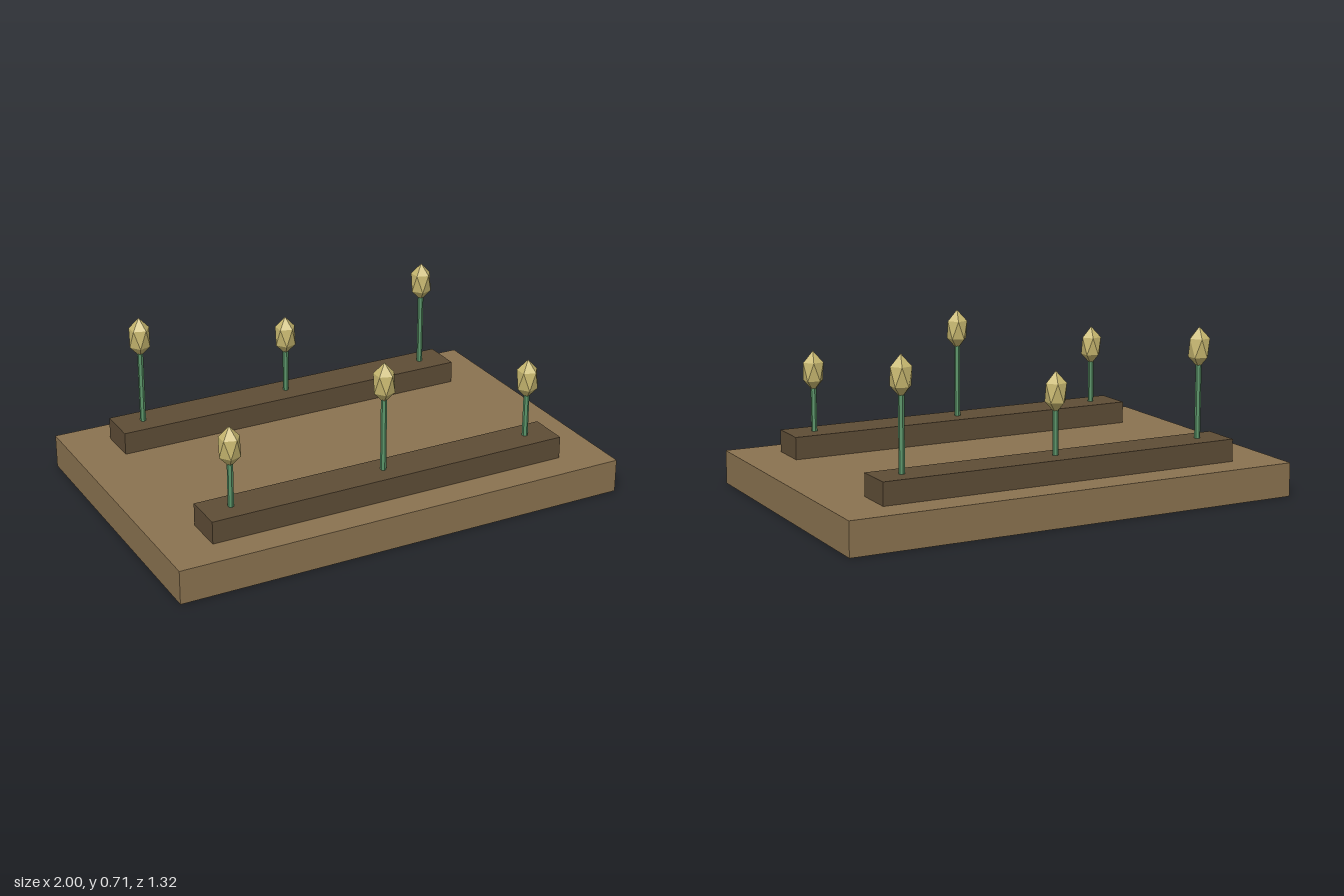
import * as THREE from 'three';

const BASE_TOP = 0.144, BED_TOP = 0.24, ROW_Z = 0.44;
const mat = (color) => new THREE.MeshStandardMaterial({ color, flatShading: true });

export function createModel() {
  const model = new THREE.Group();
  const soil = mat(0x8b7350), darkSoil = mat(0x5e4d36), green = mat(0x5a9468), straw = mat(0xc8b870);

  const add = (parent, name, geometry, material, x, y, z) => {
    const mesh = new THREE.Mesh(geometry, material);
    mesh.name = name;
    mesh.position.set(x, y, z);
    parent.add(mesh);
  };

  // Ground slab
  add(model, 'groundSlab', new THREE.BoxGeometry(2, BASE_TOP, 1.32), soil, 0, BASE_TOP / 2, 0);

  // Grain head: icosahedron turned to stand on a corner, then stretched upright
  const headGeometry = new THREE.IcosahedronGeometry(0.05, 0);
  headGeometry.rotateZ(-Math.atan(2 / (1 + Math.sqrt(5))));
  headGeometry.scale(1, 1.75, 1);

  const bedHeight = BED_TOP - BASE_TOP;
  const bedGeometry = new THREE.BoxGeometry(1.6, bedHeight, 0.174);

  // Two raised beds, each with three stalks of alternating height
  for (const side of [1, -1]) {
    const row = new THREE.Group();
    row.name = side > 0 ? 'frontRow' : 'backRow';
    row.position.z = side * ROW_Z;
    model.add(row);
    add(row, 'raisedBed', bedGeometry, darkSoil, 0, BASE_TOP + bedHeight / 2, 0);

    for (const i of [-1, 0, 1]) {
      const tall = (i === 0) === (side > 0);
      const headY = tall ? 0.624 : 0.498;
      const stemHeight = headY - BED_TOP;
      const plant = new THREE.Group();
      plant.name = 'plant';
      plant.position.x = i * 0.68;
      row.add(plant);
      add(plant, 'stem', new THREE.CylinderGeometry(0.0125, 0.0125, stemHeight, 6), green,
        0, BED_TOP + stemHeight / 2, 0);
      add(plant, 'grainHead', headGeometry, straw, 0, headY, 0);
    }
  }
  return model;
}
